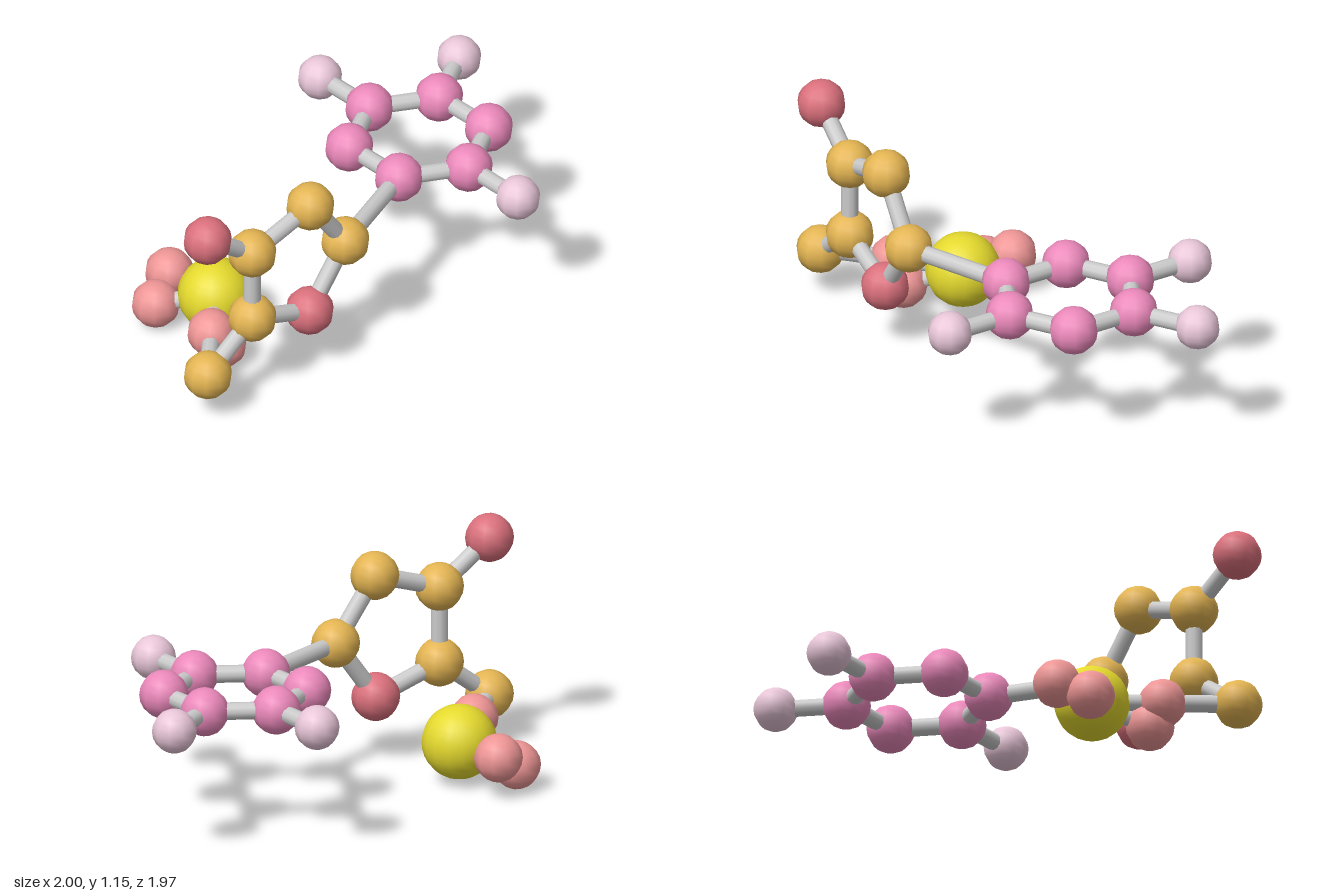
import * as THREE from 'three';

// Atom kinds: colour, radius, segments
const kinds = {
  sugarCarbon: [0xe3b452, 0.12, 10],
  sugarOxygen: [0xda707c, 0.12, 10],
  baseRing: [0xea88ba, 0.12, 10],
  baseTip: [0xe8c6d8, 0.11, 10],
  phosphateOxygen: [0xee9595, 0.12, 10],
  phosphorus: [0xe4d92e, 0.185, 16],
};

// Atom centres: kind, x, y, z
const atoms = {
  c1: ['sugarCarbon', -0.03, 0.64, 0.48],
  c2: ['sugarCarbon', -0.23, 0.95, 0.58],
  c3: ['sugarCarbon', -0.56, 0.835, 0.74],
  c4: ['sugarCarbon', -0.56, 0.45, 0.74],
  o4: ['sugarOxygen', -0.235, 0.33, 0.585],
  o3: ['sugarOxygen', -0.815, 1.04, 0.865],
  c5: ['sugarCarbon', -0.815, 0.24, 0.87],
  p: ['phosphorus', -0.61, 0.215, 0.185],
  o5: ['phosphateOxygen', -0.71, 0.23, 0.515],
  pa: ['phosphateOxygen', -0.645, 0.125, 0.475],
  pb: ['phosphateOxygen', -0.78, 0.205, -0.065],
  pc: ['phosphateOxygen', -0.88, 0.125, 0.07],
};
const bonds = [
  ['c1', 'c2'], ['c2', 'c3'], ['c3', 'c4'], ['c4', 'o4'], ['o4', 'c1'],
  ['c3', 'o3'], ['c4', 'c5'], ['c5', 'o5'],
  ['p', 'o5'], ['p', 'pa'], ['p', 'pb'], ['p', 'pc'],
];

// Flat six-sided base ring, with tips on three of its corners
for (let i = 0; i < 6; i++) {
  const a = (i * Math.PI) / 3;
  const at = (r) => [0.525 + r * Math.cos(a), 0.64, -0.277 + r * Math.sin(a)];
  atoms['r' + i] = ['baseRing', ...at(0.35)];
  bonds.push(['r' + i, 'r' + ((i + 1) % 6)]);
  if ([1, 4, 5].includes(i)) {
    atoms['t' + i] = ['baseTip', ...at(0.698)];
    bonds.push(['r' + i, 't' + i]);
  }
}
bonds.push(['c1', 'r2']);

export function createModel() {
  const group = new THREE.Group();
  const centre = (id) => new THREE.Vector3(...atoms[id].slice(1));

  // Balls
  const shared = {};
  for (const [name, [color, r, n]] of Object.entries(kinds)) {
    shared[name] = [
      new THREE.SphereGeometry(r, n, n),
      new THREE.MeshStandardMaterial({ color }),
    ];
  }
  for (const id of Object.keys(atoms)) {
    const ball = new THREE.Mesh(...shared[atoms[id][0]]);
    ball.name = atoms[id][0];
    ball.position.copy(centre(id));
    group.add(ball);
  }

  // Sticks between ball centres
  const grey = new THREE.MeshStandardMaterial({ color: 0xcccccc });
  const up = new THREE.Vector3(0, 1, 0);
  for (const [from, to] of bonds) {
    const a = centre(from);
    const d = centre(to).sub(a);
    const stick = new THREE.Mesh(new THREE.CylinderGeometry(0.043, 0.043, d.length(), 10), grey);
    stick.name = 'bond';
    stick.position.copy(a).addScaledVector(d, 0.5);
    stick.quaternion.setFromUnitVectors(up, d.normalize());
    group.add(stick);
  }
  return group;
}
